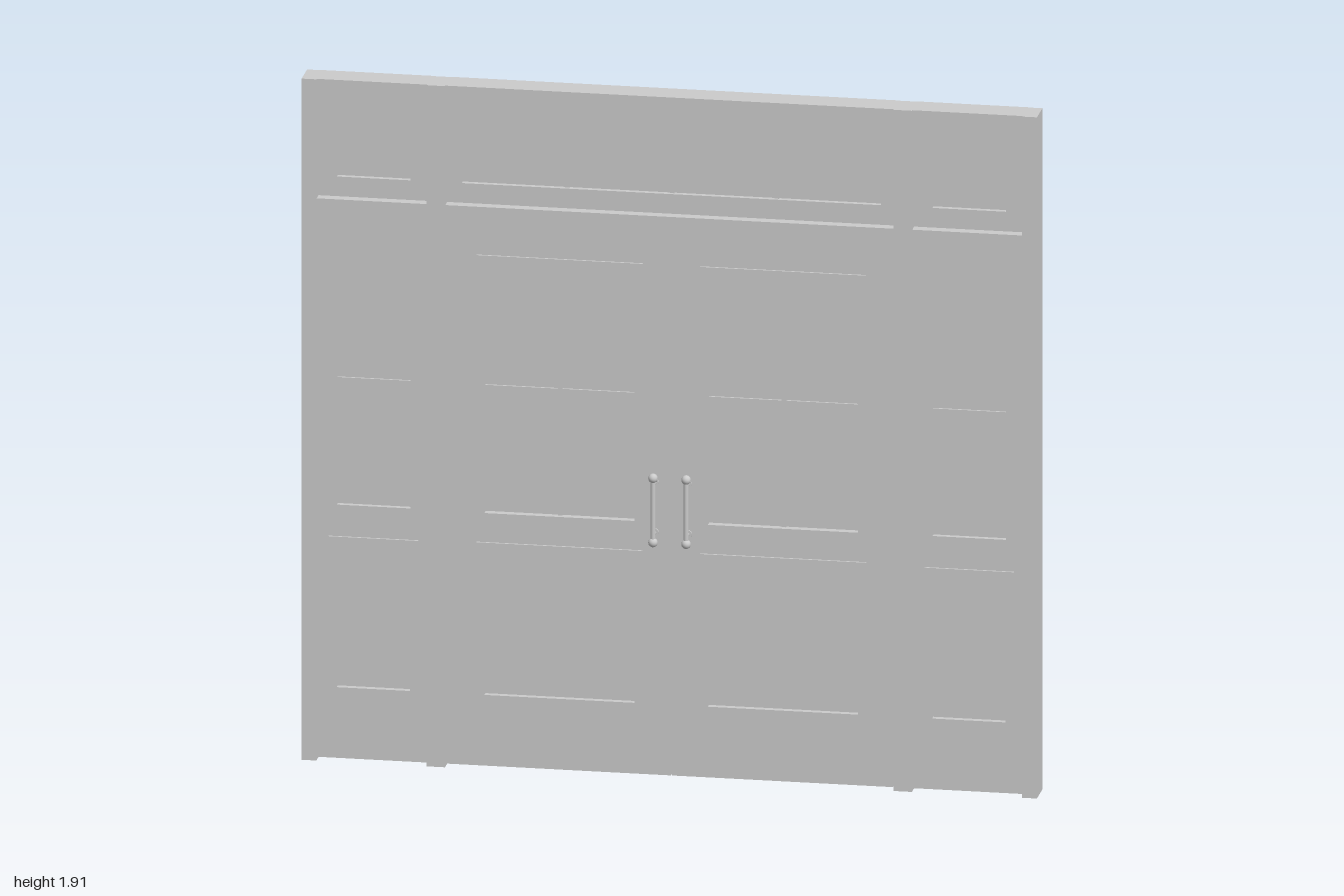
import * as THREE from 'three';

const material = new THREE.MeshStandardMaterial({ color: 0xcccccc });

function add(parent, name, geometry, x = 0, y = 0, z = 0) {
  const mesh = new THREE.Mesh(geometry, material);
  mesh.name = name;
  mesh.position.set(x, y, z);
  parent.add(mesh);
  return mesh;
}

// Box given by its limits
function block(parent, name, [x0, x1, y0, y1], z0, z1) {
  return add(parent, name, new THREE.BoxGeometry(x1 - x0, y1 - y0, z1 - z0),
    (x0 + x1) / 2, (y0 + y1) / 2, (z0 + z1) / 2);
}

function trace(path, [x0, x1, y0, y1]) {
  path.moveTo(x0, y0);
  path.lineTo(x1, y0);
  path.lineTo(x1, y1);
  path.lineTo(x0, y1);
  path.closePath();
  return path;
}

// Flat board with rectangular openings, centred on z = 0
function board(parent, name, outline, openings, half) {
  const shape = trace(new THREE.Shape(), outline);
  for (const o of openings) shape.holes.push(trace(new THREE.Path(), o));
  const geometry = new THREE.ExtrudeGeometry(shape, { depth: 2 * half, bevelEnabled: false });
  return add(parent, name, geometry, 0, 0, -half);
}

const grow = ([x0, x1, y0, y1], d) => [x0 - d, x1 + d, y0 - d, y1 + d];

// Raised moulding around an opening, on both faces
function moulding(parent, opening) {
  board(parent, 'moulding', grow(opening, 0.022), [opening], 0.026);
}

const LEAF = 0.02, GLASS = 0.005, BAR = 0.011;

// Pull handle with end balls and stalks; s is the face it stands on
function handle(parent, x, s) {
  const group = new THREE.Group();
  group.name = 'handle';
  group.position.set(x, 0.75, s * 0.05);
  add(group, 'grip', new THREE.CylinderGeometry(0.007, 0.007, 0.17, 12));
  for (const e of [-1, 1]) {
    add(group, 'endBall', new THREE.SphereGeometry(0.013, 16, 12), 0, e * 0.09);
    const stalk = add(group, 'stalk', new THREE.CylinderGeometry(0.005, 0.005, 0.034, 10), 0, e * 0.07, -s * 0.016);
    stalk.rotation.x = Math.PI / 2;
    const rose = add(group, 'rosette', new THREE.CylinderGeometry(0.011, 0.011, 0.006, 14), 0, e * 0.07, -s * 0.028);
    rose.rotation.x = Math.PI / 2;
  }
  parent.add(group);
}

// Door leaf: cross-barred window above, sunk panel below
function door(side) {
  const group = new THREE.Group();
  group.name = side > 0 ? 'leftDoor' : 'rightDoor';
  const span = (a, b) => (side > 0 ? [a, b] : [-b, -a]);
  const win = [...span(0.1, 0.508), 0.71, 1.41];
  const low = [...span(0.1, 0.508), 0.2, 0.605];
  const outer = side > 0 ? 0.602 : 0.61;
  board(group, 'leaf', [...span(0.0015, outer), 0, 1.513], [win, low], LEAF);
  moulding(group, win);
  moulding(group, low);
  block(group, 'glass', win, -GLASS, GLASS);
  block(group, 'lowerPanel', low, -0.009, 0.009);
  block(group, 'uprightBar', [...span(0.298, 0.31), 0.71, 1.41], -BAR, BAR);
  block(group, 'crossBar', [win[0], win[1], 1.053, 1.065], -BAR, BAR);
  for (const s of [-1, 1]) handle(group, side * 0.045, s);
  return group;
}

// Fixed side window with a sunk panel, and the small light above it
function sidelight(side) {
  const group = new THREE.Group();
  group.name = side > 0 ? 'leftSidelight' : 'rightSidelight';
  const span = (a, b) => (side > 0 ? [a, b] : [-b, -a]);
  const win = [...span(0.71, 0.91), 0.71, 1.41];
  const low = [...span(0.71, 0.91), 0.2, 0.6];
  const top = [...span(0.71, 0.91), 1.63, 1.82];
  board(group, 'sideFrame', [...span(0.658, 0.962), 0, 1.52], [win, low], LEAF);
  moulding(group, low);
  block(group, 'glass', win, -GLASS, GLASS);
  block(group, 'lowerPanel', low, -0.009, 0.009);
  block(group, 'crossBar', [win[0], win[1], 1.053, 1.065], -BAR, BAR);
  board(group, 'upperFrame', [...span(0.658, 0.962), 1.57, 1.885], [top], LEAF);
  block(group, 'upperGlass', top, -GLASS, GLASS);
  return group;
}

export function createModel() {
  const model = new THREE.Group();
  model.name = 'doubleDoorEntrance';

  // Posts and rails of the outer frame
  for (const s of [-1, 1]) {
    for (const [a, b] of [[0.96, 1], [0.61, 0.66]]) {
      block(model, 'post', s > 0 ? [a, b, 0, 1.91] : [-b, -a, 0, 1.91], -0.03, 0.054);
    }
    for (const [y0, y1, name] of [[1.515, 1.575, 'sideTransomRail'], [1.88, 1.91, 'sideHeader']]) {
      block(model, name, s > 0 ? [0.66, 0.96, y0, y1] : [-0.96, -0.66, y0, y1], -0.032, 0.049);
    }
  }
  block(model, 'transomRail', [-0.61, 0.61, 1.515, 1.575], -0.032, 0.049);
  block(model, 'header', [-0.61, 0.61, 1.88, 1.91], -0.032, 0.049);

  // Wide light over the doors, split in four
  const light = [-0.57, 0.57, 1.63, 1.82];
  board(model, 'transomFrame', [-0.612, 0.612, 1.57, 1.885], [light], LEAF);
  block(model, 'transomGlass', light, -GLASS, GLASS);
  for (const x of [-0.285, 0, 0.285]) {
    block(model, 'transomBar', [x - 0.006, x + 0.006, 1.63, 1.82], -BAR, BAR);
  }

  for (const s of [-1, 1]) model.add(door(s), sidelight(s));
  return model;
}
